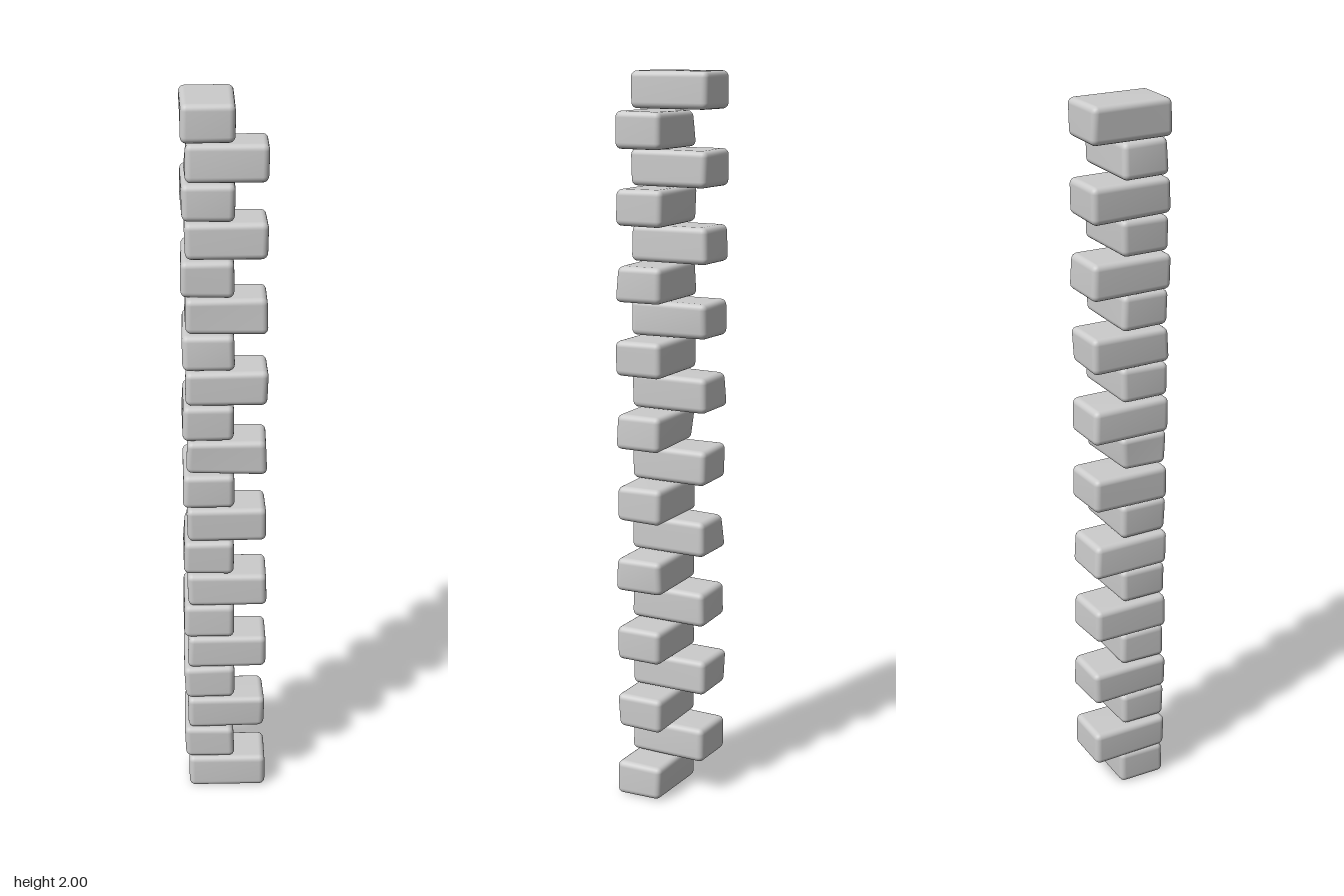
import * as THREE from 'three';
import { RoundedBoxGeometry } from 'three/addons/geometries/RoundedBoxGeometry.js';
import { mergeVertices } from 'three/addons/utils/BufferGeometryUtils.js';

const COURSES = 20, HEIGHT = 0.1;

// small seeded generator, 0..1
function seeded(seed) {
  let s = seed;
  return () => (s = (s * 16807) % 2147483647) / 2147483647;
}

// Worn stone block: a rounded box whose eight corners are each pulled in a little
function stoneGeometry(w, h, d, rand) {
  const rounded = new RoundedBoxGeometry(w, h, d, 3, 0.017);
  rounded.deleteAttribute('normal');
  rounded.deleteAttribute('uv');
  const geo = mergeVertices(rounded, 1e-5);
  const corners = Array.from({ length: 8 }, () => {
    const chip = rand() < 0.12 ? 2 : 1;
    return [rand() * 0.006 * chip, rand() * 0.003 * chip, rand() * 0.006 * chip];
  });
  const p = geo.attributes.position;
  for (let i = 0; i < p.count; i++) {
    const v = [p.getX(i), p.getY(i), p.getZ(i)];
    const t = [v[0] / w + 0.5, v[1] / h + 0.5, v[2] / d + 0.5];
    const out = [...v];
    corners.forEach((pull, c) => {
      const side = [c & 1, (c >> 1) & 1, c >> 2];
      const weight = side.reduce((m, s, k) => m * (s ? t[k] : 1 - t[k]), 1);
      side.forEach((s, k) => { out[k] += weight * pull[k] * (s ? -1 : 1); });
    });
    p.setXYZ(i, ...out);
  }
  geo.computeVertexNormals();
  return geo;
}

export function createModel() {
  const group = new THREE.Group();
  group.name = 'cornerQuoins';
  const material = new THREE.MeshStandardMaterial({ color: 0xcccccc });
  const rand = seeded(4211);

  // Courses alternate between running along x and running along z
  for (let i = 0; i < COURSES; i++) {
    const alongX = i % 2 === 0;
    const shrink = rand() * 0.006;
    const [x0, x1] = alongX ? [-0.106, 0.116 - shrink / 2] : [-0.116, 0.028];
    const [z0, z1] = alongX ? [-0.026, 0.116] : [-0.118 + (i === 19 ? 0 : shrink), 0.116];
    const geo = stoneGeometry(x1 - x0, HEIGHT, z1 - z0, rand);
    const stone = new THREE.Mesh(geo, material);
    stone.name = (alongX ? 'sideStone' : 'backStone') + (i + 1);
    stone.position.set((x0 + x1) / 2, (i + 0.5) * HEIGHT, (z0 + z1) / 2);
    group.add(stone);
  }
  return group;
}
